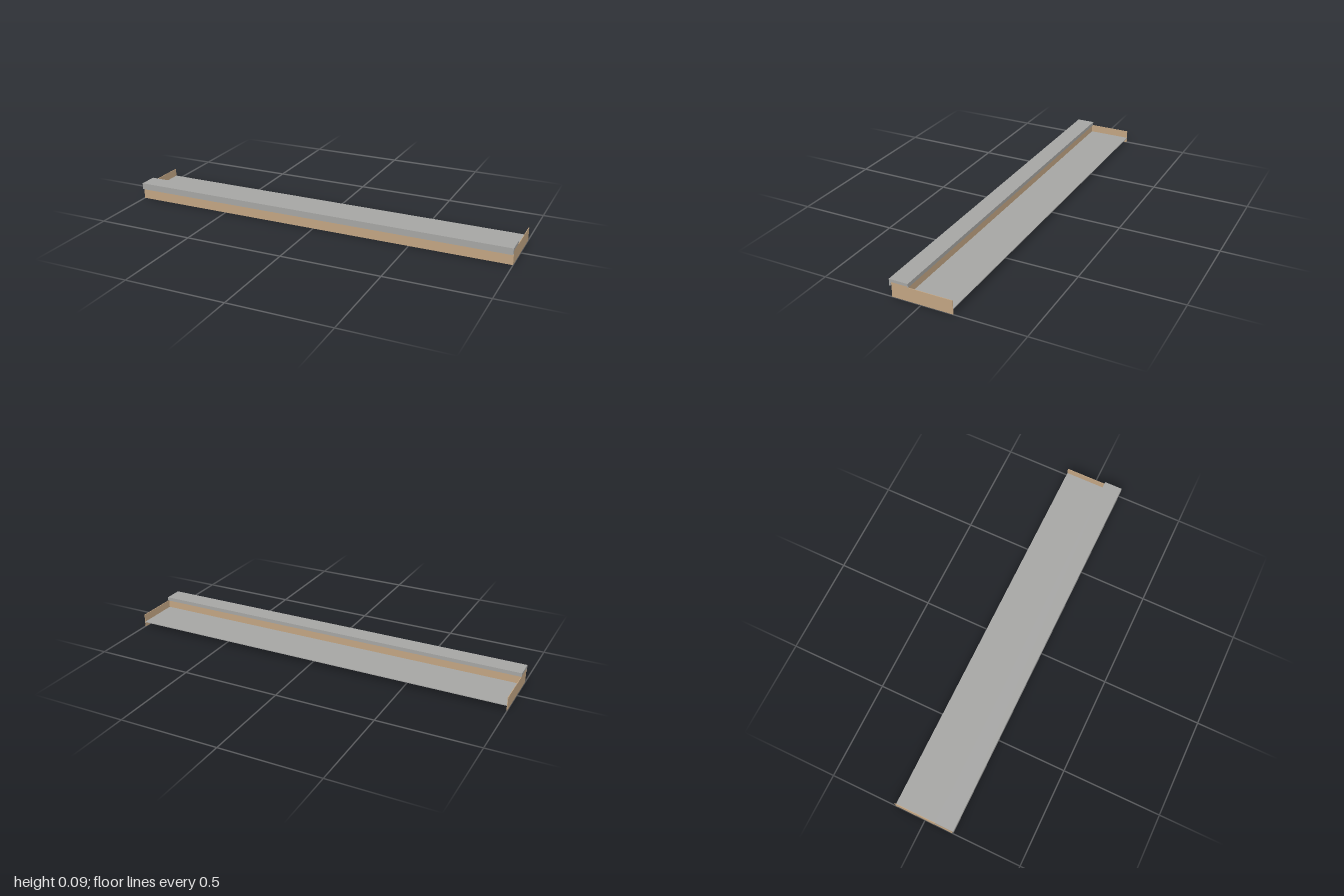
import * as THREE from 'three';

export function createModel() {
  const group = new THREE.Group();
  const wood = new THREE.MeshStandardMaterial({ color: 0xc2a583 });
  wood.name = 'tan wood';
  const metal = new THREE.MeshStandardMaterial({ color: 0xa6a6a4 });
  metal.name = 'grey metal';

  // Box given by its min and max corners
  const box = (name, material, [x0, y0, z0], [x1, y1, z1]) => {
    const mesh = new THREE.Mesh(new THREE.BoxGeometry(x1 - x0, y1 - y0, z1 - z0), material);
    mesh.position.set((x0 + x1) / 2, (y0 + y1) / 2, (z0 + z1) / 2);
    mesh.name = name;
    group.add(mesh);
  };

  // Front beam, end plates and the raised floor sheet between them
  const t = 0.003;
  box('frontBeam', wood, [-1, 0, 0.066], [1, 0.073, 0.145]);
  box('leftEndPlate', wood, [1 - t, 0, -0.156], [1, 0.068, 0.066]);
  box('rightEndPlate', wood, [-1, 0, -0.156], [-1 + t, 0.068, 0.066]);
  box('floorSheet', metal, [-1 + t, 0.024, -0.156], [1 - t, 0.028, 0.066]);

  // Cap folded over the beam, with a hanging drip lip at the front: (z, y) section
  const section = [
    [0.061, 0.068], [0.066, 0.068], [0.066, 0.073], [0.145, 0.073], [0.145, 0.068],
    [0.150, 0.068], [0.150, 0.054], [0.156, 0.054], [0.156, 0.087], [0.061, 0.087],
  ];
  const shape = new THREE.Shape(section.map(([z, y]) => new THREE.Vector2(-z, y)));
  const capGeometry = new THREE.ExtrudeGeometry(shape, { depth: 2, bevelEnabled: false });
  capGeometry.translate(0, 0, -1).rotateY(Math.PI / 2);
  const cap = new THREE.Mesh(capGeometry, metal);
  cap.name = 'cap';
  group.add(cap);

  return group;
}
